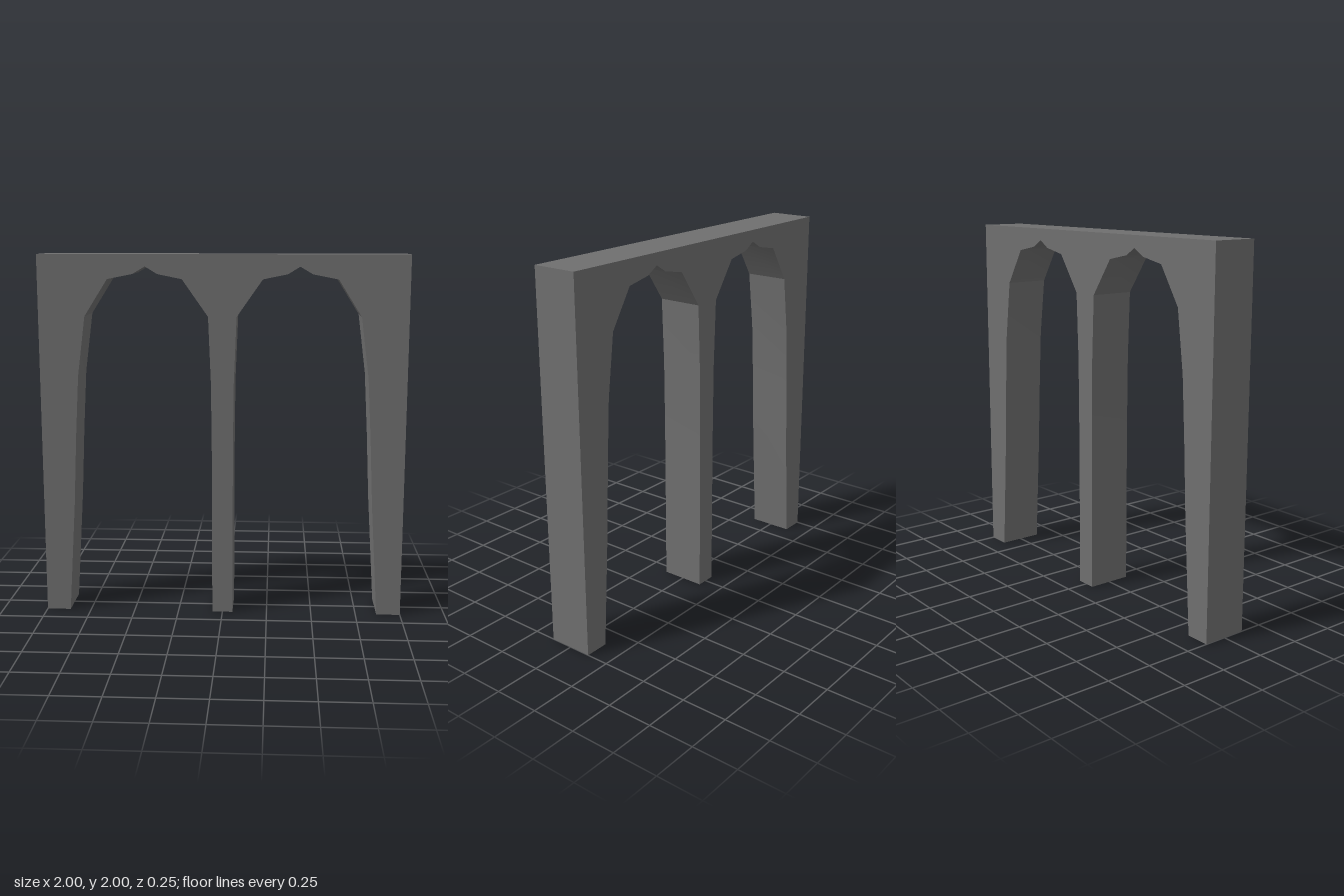
import * as THREE from 'three';
import { mergeGeometries } from 'three/addons/utils/BufferGeometryUtils.js';

const DEPTH = 0.25;

// Half an opening pair, from the outer jamb over the pointed crown to the central pier
const JAMB = [[0.868, 0], [0.828, 0.62], [0.81, 1.0], [0.79, 1.34], [0.747, 1.668]];
const SOFFIT = [
  [0.747, 1.668], [0.62, 1.868], [0.483, 1.895], [0.415, 1.935],
  [0.35, 1.895], [0.217, 1.868], [0.077, 1.668],
];
const PIER = [[0.077, 1.668], [0.062, 1.3], [0.058, 0.9], [0.057, 0]];

const mirror = (points) => points.map(([x, y]) => [-x, y]);
const reverse = (points) => [...points].reverse();

// Smooth band across the wall's thickness, following points counter-clockwise
function band(points) {
  const geometry = new THREE.PlaneGeometry(1, 1, points.length - 1, 1);
  const position = geometry.attributes.position;
  for (let i = 0; i < position.count; i++) {
    const [x, y] = points[i % points.length];
    position.setXYZ(i, x, y, i < points.length ? DEPTH / 2 : -DEPTH / 2);
  }
  geometry.computeVertexNormals();
  return geometry;
}

export function createModel() {
  const group = new THREE.Group();
  group.name = 'doubleArch';
  const material = new THREE.MeshStandardMaterial({ color: 0x6f6f6f });
  const addPart = (name, geometries) => {
    const mesh = new THREE.Mesh(mergeGeometries(geometries), material);
    mesh.name = name;
    group.add(mesh);
  };

  // Front and back of the wall: the outline is symmetric, so the back is a half turn
  const leftSide = [JAMB, SOFFIT.slice(1, -1), PIER].flat();
  const outline = [
    [-1, 0], ...mirror(leftSide), ...reverse(leftSide), [1, 0], [1, 2], [-1, 2],
  ];
  const shape = new THREE.Shape(outline.map(([x, y]) => new THREE.Vector2(x, y)));
  const front = new THREE.ShapeGeometry(shape).translate(0, 0, DEPTH / 2);
  addPart('wallFaces', [front, front.clone().rotateY(Math.PI)]);

  // Inner bands of both openings, each smooth with a crease where the arch springs
  const openingBands = (points) => [band(mirror(points)), band(reverse(points))];
  addPart('jambs', openingBands(JAMB));
  addPart('archSoffits', openingBands(SOFFIT));
  addPart('pierSides', openingBands(PIER));

  // Outer ends, top and feet
  const foot = JAMB[0][0];
  const pier = PIER[PIER.length - 1][0];
  addPart('outerEnds', [band([[1, 0], [1, 2]]), band([[-1, 2], [-1, 0]])]);
  addPart('top', [band([[1, 2], [-1, 2]])]);
  addPart('feet', [[-1, -foot], [-pier, pier], [foot, 1]].map(
    ([a, b]) => band([[a, 0], [b, 0]])));
  return group;
}
